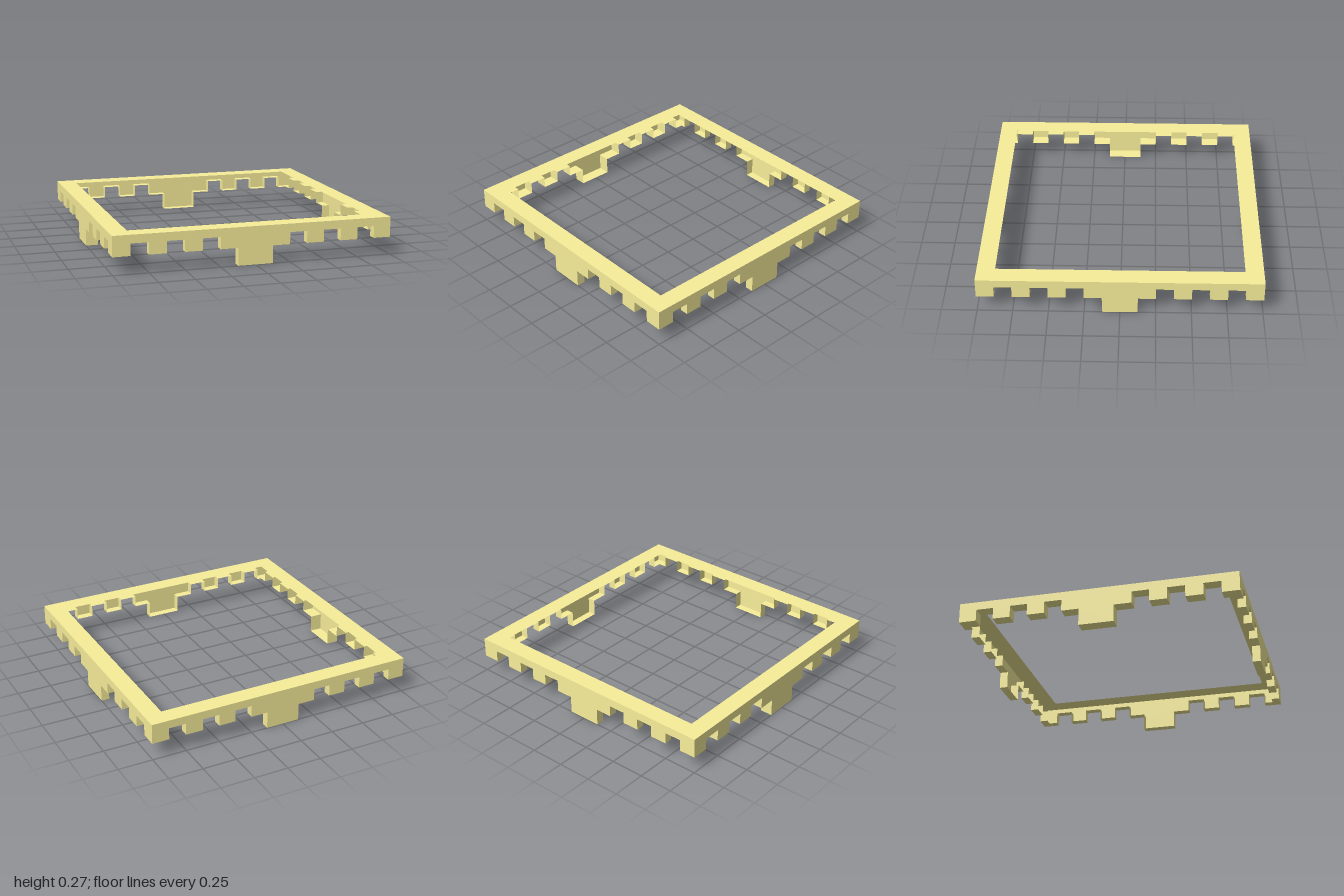
import * as THREE from 'three';

const TOP = 0.27, NOTCH = 0.21, STEP = 0.125;

// Lower outline of a border from the middle to its +x end
const HALF_OUTLINE = [
  [0.125, 0], [0.125, STEP], [0.25, STEP], [0.25, NOTCH],
  [0.375, NOTCH], [0.375, STEP], [0.5, STEP], [0.5, NOTCH],
  [0.625, NOTCH], [0.625, STEP], [0.75, STEP], [0.75, NOTCH],
  [0.875, NOTCH], [0.875, STEP], [1, STEP],
];
const OUTLINE = [...HALF_OUTLINE.map(([x, y]) => [-x, y]).reverse(), ...HALF_OUTLINE];

const toVectors = (points) => points.map(([x, y]) => new THREE.Vector2(x, y));
const square = (r) => toVectors([[-r, -r], [r, -r], [r, r], [-r, r]]);

// Narrow strip that turns inward from the outline, one flat quad per segment
function hemGeometry(width) {
  const positions = [];
  for (let i = 0; i < OUTLINE.length - 1; i++) {
    const [x0, y0] = OUTLINE[i], [x1, y1] = OUTLINE[i + 1];
    const a = [x0, y0, 1], b = [x1, y1, 1];
    const c = [x0, y0, 1 - width], d = [x1, y1, 1 - width];
    positions.push(...a, ...c, ...b, ...b, ...c, ...d);
  }
  const geometry = new THREE.BufferGeometry();
  geometry.setAttribute('position', new THREE.Float32BufferAttribute(positions, 3));
  geometry.computeVertexNormals();
  return geometry;
}

export function createModel() {
  const group = new THREE.Group();
  const material = new THREE.MeshStandardMaterial({
    color: 0xf8ee9a, flatShading: true, side: THREE.DoubleSide,
  });

  const add = (geometry, name, parent) => {
    const mesh = new THREE.Mesh(geometry, material);
    mesh.name = name;
    parent.add(mesh);
  };

  // Flat square rim with an open middle
  const rim = new THREE.Shape(square(1));
  rim.holes.push(new THREE.Path(square(0.87)));
  add(new THREE.ShapeGeometry(rim).rotateX(-Math.PI / 2).translate(0, TOP, 0), 'rim', group);

  // Hanging border: a thin notched panel with a hem, open on the inside
  const panel = new THREE.Shape(toVectors([...OUTLINE, [1, TOP], [-1, TOP]]));
  const addBorder = (name, angle, hemWidth) => {
    const border = new THREE.Group();
    border.name = name;
    add(new THREE.ShapeGeometry(panel).translate(0, 0, 1), 'panel', border);
    add(hemGeometry(hemWidth), 'hem', border);
    border.rotation.y = angle;
    group.add(border);
  };

  addBorder('frontBorder', 0, 0.06);
  addBorder('backBorder', Math.PI, 0.06);
  addBorder('leftBorder', Math.PI / 2, 0.06);
  addBorder('rightBorder', -Math.PI / 2, 0.09);

  return group;
}
